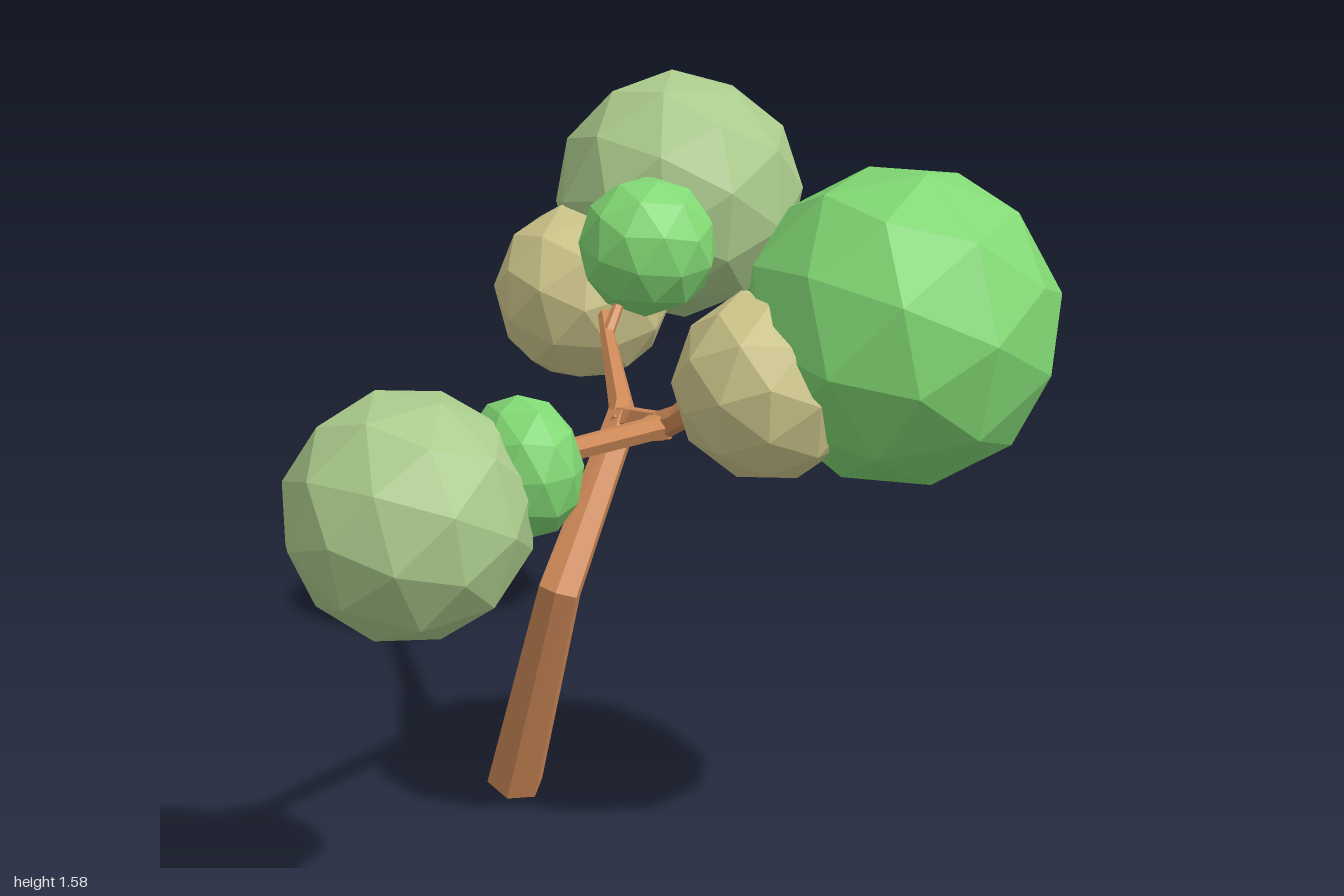
import * as THREE from 'three';

const SIDES = 6;
const bark = new THREE.MeshStandardMaterial({ color: 0xcf8a58, flatShading: true });
const leaf = (color) => new THREE.MeshStandardMaterial({ color, flatShading: true });
const green = leaf(0x82d874), pale = leaf(0xabcb8c), straw = leaf(0xd0c88c);

// Hexagonal limb lofted through [x, y, z, radius] points, mitred at each bend
function limb(name, path) {
  const pts = path.map(([x, y, z]) => new THREE.Vector3(x, y, z));
  const dirs = pts.slice(1).map((p, i) => p.clone().sub(pts[i]).normalize());
  const pos = [], index = [];
  const side = new THREE.Vector3(1, 0, 0.2);
  pts.forEach((p, i) => {
    const a = dirs[Math.max(i - 1, 0)], b = dirs[Math.min(i, dirs.length - 1)];
    const t = a.clone().add(b).normalize();
    side.addScaledVector(t, -side.dot(t)).normalize();
    const up = t.clone().cross(side);
    for (let s = 0; s < SIDES; s++) {
      const ang = (s / SIDES) * Math.PI * 2;
      const v = p.clone()
        .addScaledVector(side, Math.cos(ang) * path[i][3])
        .addScaledVector(up, Math.sin(ang) * path[i][3]);
      pos.push(v.x, v.y, v.z);
    }
  });
  const last = (pts.length - 1) * SIDES;
  for (let s = 0; s < SIDES; s++) {
    const n = (s + 1) % SIDES;
    for (let k = 0; k < last; k += SIDES) {
      index.push(k + s, k + n, k + SIDES + n, k + s, k + SIDES + n, k + SIDES + s);
    }
    // end caps
    if (s > 0 && s < SIDES - 1) index.push(0, s + 1, s, last, last + s, last + s + 1);
  }
  const indexed = new THREE.BufferGeometry();
  indexed.setAttribute('position', new THREE.Float32BufferAttribute(pos, 3));
  indexed.setIndex(index);
  const geo = indexed.toNonIndexed();
  geo.computeVertexNormals();
  const mesh = new THREE.Mesh(geo, bark);
  mesh.name = name;
  return mesh;
}

// Faceted leaf ball, turned so that no two look alike
function foliage(name, material, center, radii, turn) {
  const geo = new THREE.IcosahedronGeometry(1, 1);
  geo.rotateX(turn).rotateY(turn * 1.7).rotateZ(turn * 0.6);
  geo.scale(...radii);
  geo.computeVertexNormals();
  const mesh = new THREE.Mesh(geo, material);
  mesh.position.set(...center);
  mesh.name = name;
  return mesh;
}

export function createModel() {
  const tree = new THREE.Group();
  tree.name = 'tree';

  // Shared joints of the limbs
  const crotch = [0.11, 0.89, -0.04, 0.038];
  const frontFork = [0.085, 0.92, 0.18, 0.034];
  const leftFork = [-0.42, 0.97, 0.47, 0.022];
  const topFork = [0.15, 1.08, 0.38, 0.026];

  const wood = new THREE.Group();
  wood.name = 'wood';
  wood.add(
    limb('trunk', [[-0.13, 0.025, -0.12, 0.067], [-0.13, 0.56, 0.11, 0.05], crotch]),
    limb('backBranch', [[0.09, 0.87, -0.02, 0.034], [0.13, 0.9, -0.08, 0.03],
      [0.28, 0.99, -0.42, 0.018], [0.35, 1.05, -0.58, 0.014]]),
    limb('frontBranch', [[0.11, 0.88, -0.06, 0.034], [0.115, 0.89, 0.02, 0.033], frontFork]),
    limb('sideBranch', [[0.1, 0.915, 0.16, 0.034], [0.03, 0.925, 0.21, 0.027], leftFork]),
    limb('raisedBranch', [[0.085, 0.91, 0.15, 0.034], [0.1, 0.95, 0.23, 0.029], topFork]),
    limb('sideTwigOuter', [leftFork, [-0.5, 0.965, 0.475, 0.014], [-0.62, 0.96, 0.52, 0.01]]),
    limb('sideTwigInner', [leftFork, [-0.44, 0.985, 0.52, 0.014], [-0.48, 1.01, 0.62, 0.01]]),
    limb('raisedTwigOuter', [topFork, [0.19, 1.1, 0.43, 0.018], [0.26, 1.15, 0.55, 0.012]]),
    limb('raisedTwigInner', [topFork, [0.13, 1.085, 0.43, 0.018], [0.1, 1.09, 0.52, 0.012]]),
    limb('backTwig', [[0.28, 0.99, -0.42, 0.016], [0.36, 1.1, -0.47, 0.012]])
  );

  const crown = new THREE.Group();
  crown.name = 'crown';
  crown.add(
    foliage('frontFoliageLarge', green, [0.34, 1.21, 0.68], [0.325, 0.325, 0.325], 0.3),
    foliage('frontFoliageSmall', straw, [0.085, 1.1, 0.6], [0.195, 0.195, 0.195], 0.9),
    foliage('backFoliageLarge', pale, [0.635, 1.27, -0.69], [0.32, 0.315, 0.315], 1.3),
    foliage('backFoliageLow', straw, [0.37, 1.04, -0.71], [0.228, 0.228, 0.228], 2.1),
    foliage('backFoliageSmall', green, [0.41, 1.19, -0.455], [0.172, 0.172, 0.172], 2.6),
    foliage('sideFoliageLarge', pale, [-0.715, 0.95, 0.63], [0.238, 0.238, 0.238], 0.6),
    foliage('sideFoliageSmall', green, [-0.495, 1.02, 0.66], [0.107, 0.138, 0.142], 1.8)
  );

  tree.add(wood, crown);
  return tree;
}
